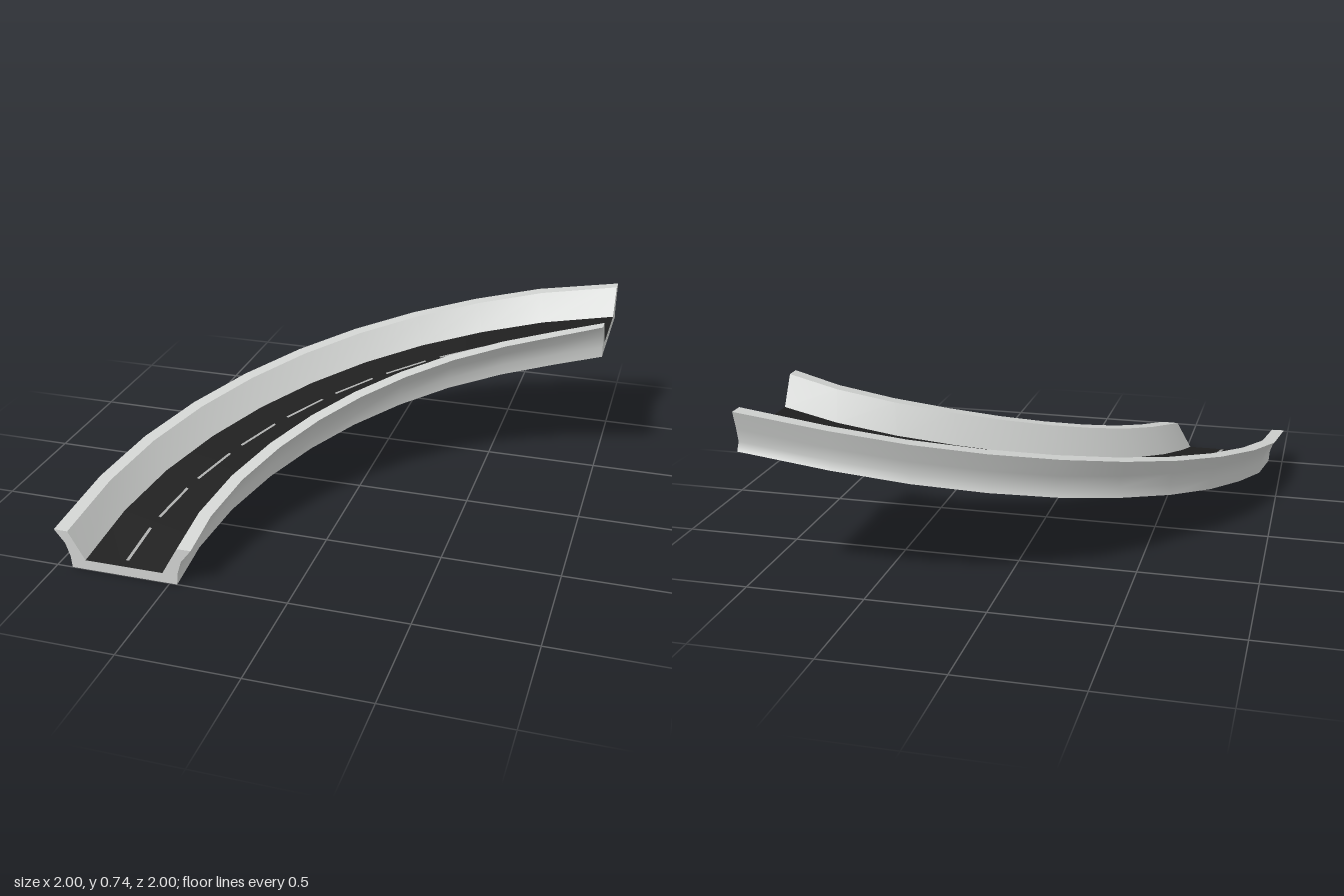
import * as THREE from 'three';

const concrete = new THREE.MeshStandardMaterial({ color: 0xcfd1cf });
concrete.name = 'light concrete';
const asphalt = new THREE.MeshStandardMaterial({ color: 0x1f1f1f });
asphalt.name = 'dark asphalt';
const paint = new THREE.MeshStandardMaterial({ color: 0xa9aaa9 });
paint.name = 'grey lane paint';

// The ramp is a quarter turn about (1, 1) in ten straight steps.
const STEPS = 10, RADIUS = 1.7, RISE = 0.57;
const outerAngles = [0, 10.7, 19.5, 28.2, 36.7, 45];
const innerAngles = [0, 7.7, 17.2, 26.9, 36, 45];
const { lerp, clamp, degToRad } = THREE.MathUtils;

function angleAt(list, step) {
  return degToRad(step <= 5 ? list[step] : 90 - list[10 - step]);
}

// Point at a whole step; offset is sideways (outer side positive), height above the base
function stationPoint(step, [offset, height]) {
  const t = (offset + 0.3) / 0.6;
  const angle = lerp(angleAt(innerAngles, step), angleAt(outerAngles, step), t);
  const r = RADIUS + offset + 0.025 * t * Math.sin(2 * angle);
  return new THREE.Vector3(1 - r * Math.cos(angle), height + RISE * step / STEPS, 1 - r * Math.sin(angle));
}

function pathPoint(s, p) {
  const i = Math.min(Math.floor(s), STEPS - 1);
  return stationPoint(i, p).lerp(stationPoint(i + 1, p), s - i);
}

// Strip swept along the path; profile(s) lists points from the outer side over the top to the inner side
function ribbon(profile, from = 0, to = STEPS, count = STEPS) {
  const pos = [], index = [];
  const n = profile(from).length;
  for (let i = 0; i <= count; i++) {
    const s = lerp(from, to, i / count);
    for (const p of profile(s)) pos.push(...pathPoint(s, p).toArray());
    if (i === count) break;
    for (let k = 0; k < n - 1; k++) {
      const a = i * n + k, b = a + 1, c = a + n, d = c + 1;
      index.push(a, b, c, b, d, c);
    }
  }
  const geo = new THREE.BufferGeometry();
  geo.setAttribute('position', new THREE.Float32BufferAttribute(pos, 3));
  geo.setIndex(index);
  geo.computeVertexNormals();
  return geo;
}

// Outer flank: its foot spreads outward towards the high end
const flankLow = [[0.232, 0], [0.236, 0.05], [0.255, 0.11], [0.3, 0.168]];
const flankHigh = [[0.285, 0], [0.266, 0.035], [0.278, 0.09], [0.3, 0.166]];
function outerFlank(s) {
  const t = clamp((s - 2) / 4, 0, 1);
  return flankLow.map((p, i) => [lerp(p[0], flankHigh[i][0], t), lerp(p[1], flankHigh[i][1], t)]);
}
const innerFlank = () => flankLow.map(([x, y]) => [-x, y]).reverse();

const outerTop = (s) => [outerFlank(s)[3], [0.24, 0.167]];
const outerSlope = () => [[0.24, 0.167], [0.17, 0.043]];
const roadway = () => [[0.17, 0.043], [-0.17, 0.043]];
const innerSlope = () => [[-0.17, 0.043], [-0.24, 0.167]];
const innerTop = () => [[-0.24, 0.167], [-0.3, 0.168]];
const underside = (s) => [[-0.232, 0], outerFlank(s)[0]];

// Flat end face closing the cross-section
function endCap(step, facing) {
  const outline = [...outerFlank(step), ...outerSlope(), ...innerSlope(), ...innerFlank()];
  const flat = outline.map(([x, y]) => new THREE.Vector2(x, y));
  const points = outline.map((p) => stationPoint(step, p));
  const pos = [];
  for (const [a, b, c] of THREE.ShapeUtils.triangulateShape(flat, [])) {
    const tri = new THREE.Triangle(points[a], points[b], points[c]);
    const normal = tri.getNormal(new THREE.Vector3());
    const order = normal.dot(facing) > 0 ? [a, b, c] : [a, c, b];
    for (const i of order) pos.push(...points[i].toArray());
  }
  const geo = new THREE.BufferGeometry();
  geo.setAttribute('position', new THREE.Float32BufferAttribute(pos, 3));
  geo.computeVertexNormals();
  return geo;
}

export function createModel() {
  const model = new THREE.Group();
  model.name = 'curvedRoadRamp';
  const add = (name, geo, material) => {
    const mesh = new THREE.Mesh(geo, material);
    mesh.name = name;
    model.add(mesh);
  };

  // Concrete trough
  add('outerWallFlank', ribbon(outerFlank), concrete);
  add('outerWallTop', ribbon(outerTop), concrete);
  add('outerWallSlope', ribbon(outerSlope), concrete);
  add('innerWallSlope', ribbon(innerSlope), concrete);
  add('innerWallTop', ribbon(innerTop), concrete);
  add('innerWallFlank', ribbon(innerFlank), concrete);
  add('underside', ribbon(underside), concrete);
  add('lowEnd', endCap(0, new THREE.Vector3(0, 0, 1)), concrete);
  add('highEnd', endCap(STEPS, new THREE.Vector3(1, 0, 0)), concrete);

  // Road surface and its broken centre line
  add('roadSurface', ribbon(roadway), asphalt);
  const dash = () => [[0.007, 0.046], [-0.007, 0.046]];
  for (let i = 0; i < STEPS; i++) {
    add('laneDash', ribbon(dash, i + 0.12, i + 0.86, 1), paint);
  }
  return model;
}
